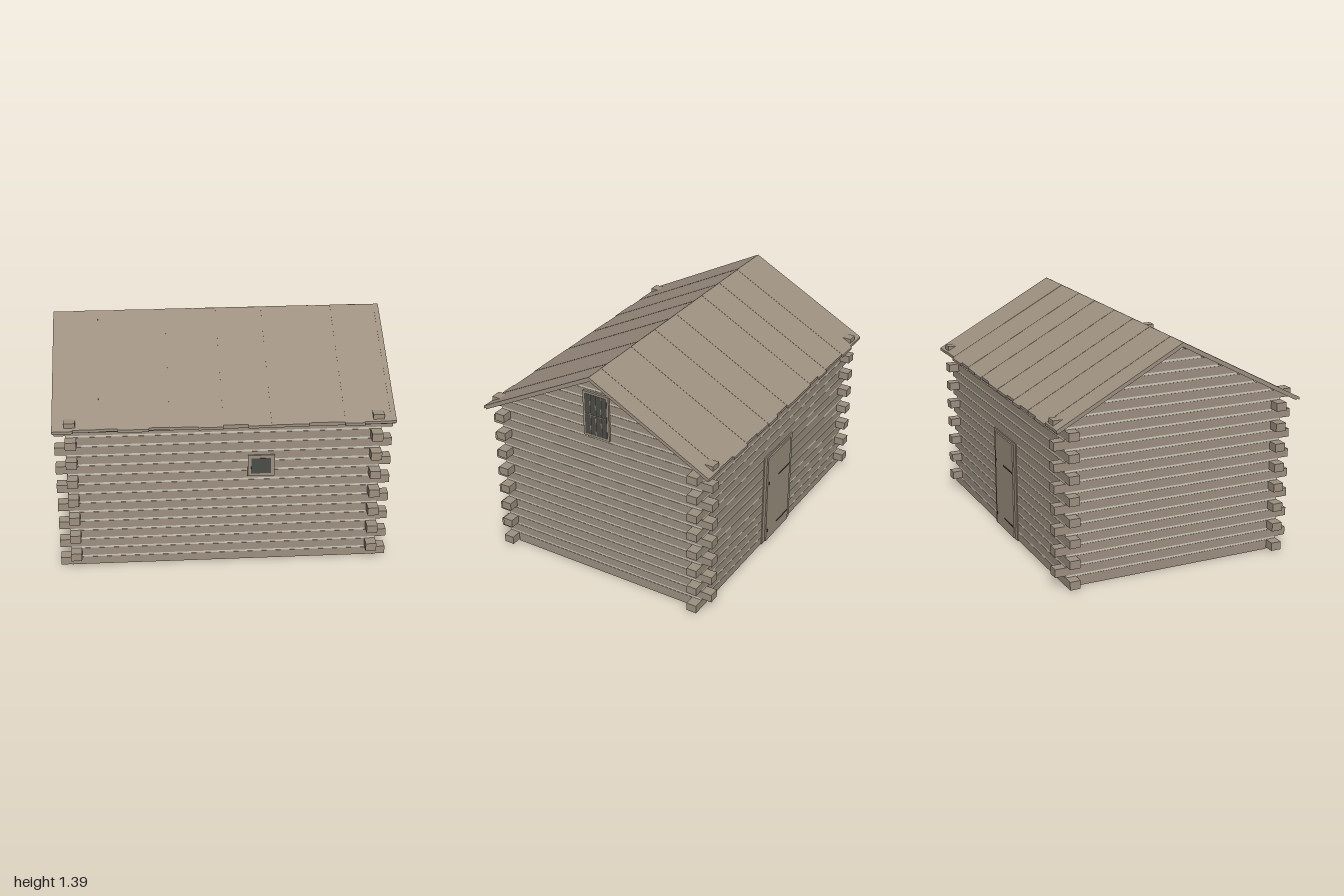
import * as THREE from 'three';

export function createModel() {
  const model = new THREE.Group();
  const mat = (name, color) => {
    const m = new THREE.MeshStandardMaterial({ color });
    m.name = name;
    return m;
  };
  const wood = mat('weathered wood', 0x9d9080);
  const chink = mat('pale chinking', 0xd0cabe);
  const glass = mat('dark glass', 0x4b4d48);
  const iron = mat('dark iron', 0x403b35);

  const group = name => {
    const g = new THREE.Group();
    g.name = name;
    model.add(g);
    return g;
  };
  const add = (name, geo, material, parent) => {
    const mesh = new THREE.Mesh(geo, material);
    mesh.name = name;
    parent.add(mesh);
    return mesh;
  };
  // box between two opposite corners
  const box = (name, a, b, material, parent) => {
    const size = a.map((v, i) => Math.abs(b[i] - v));
    const m = add(name, new THREE.BoxGeometry(...size), material, parent);
    m.position.set((a[0] + b[0]) / 2, (a[1] + b[1]) / 2, (a[2] + b[2]) / 2);
    return m;
  };
  // outline in (z, y), extruded along x between xa and xb
  const slab = (name, pts, xa, xb, material, parent) => {
    const shape = new THREE.Shape(pts.map(([z, y]) => new THREE.Vector2(-z, y)));
    const geo = new THREE.ExtrudeGeometry(shape, { depth: Math.abs(xb - xa), bevelEnabled: false });
    geo.rotateY(Math.PI / 2);
    geo.translate(Math.min(xa, xb), 0, 0);
    return add(name, geo, material, parent);
  };

  const PITCH = 0.0634, H = 0.0505, SLOPE = 0.532, UNDER = 1.36;
  const bottom = i => 0.01 + i * PITCH;
  const roofZ = y => Math.max((UNDER - y) / SLOPE, 0.001);

  // thin front and back walls: lining, chinking and log faces
  for (const s of [-1, 1]) {
    const wall = group(s > 0 ? 'frontWall' : 'backWall');
    box('lining', [-0.922, 0.005, s * 0.69], [0.922, 0.985, s * 0.694], wood, wall);
    box('chinking', [-0.927, 0.012, s * 0.694], [0.927, 0.985, s * 0.698], chink, wall);
    for (let i = 0; i < 15; i++) {
      box('log', [-0.865, bottom(i), s * 0.696], [0.865, bottom(i) + H, s * 0.7], wood, wall);
    }
  }

  // thin side walls, with gable logs trimmed to the roof slope
  for (const s of [-1, 1]) {
    const wall = group(s > 0 ? 'leftWall' : 'rightWall');
    const house = (z, lo) => [[-z, lo], [z, lo], [z, 0.985], [0, 1.355], [-z, 0.985]];
    slab('lining', house(0.69, 0), s * 0.92, s * 0.924, wood, wall);
    slab('chinking', house(0.697, 0.005), s * 0.924, s * 0.928, chink, wall);
    for (let i = 0; i < 16; i++) {
      box('log', [s * 0.926, i ? bottom(i) : 0, -0.635], [s * 0.93, bottom(i) + H, 0.635], wood, wall);
    }
    for (let i = 16; i < 22; i++) {
      const lo = bottom(i), hi = Math.min(lo + H, UNDER);
      const a = roofZ(lo), b = roofZ(hi);
      slab('gableLog', [[-a, lo], [a, lo], [b, hi], [-b, hi]], s * 0.926, s * 0.93, wood, wall);
    }
  }

  // crossing log ends, alternating direction at each corner
  const corners = group('cornerLogEnds');
  for (const sx of [-1, 1]) for (const sz of [-1, 1]) for (let i = 0; i < 16; i++) {
    const ex = i % 2 ? 0.93 : 0.995, ez = i % 2 ? 0.765 : 0.7;
    box('logEnd', [sx * 0.865, bottom(i), sz * 0.635], [sx * ex, bottom(i) + H, sz * ez], wood, corners);
  }

  // roof: lower chevron deck
  const roof = group('roof');
  const e = 0.768, t = 0.016;
  slab('roofDeck', [
    [-e, UNDER - SLOPE * e], [0, UNDER], [e, UNDER - SLOPE * e],
    [e, UNDER + t - SLOPE * e], [0, UNDER + t], [-e, UNDER + t - SLOPE * e],
  ], -0.995, 0.995, wood, roof);

  // roof planks of uneven width and length
  const planks = {
    front: [-1, -0.88, -0.73, -0.62, -0.44, -0.32, -0.155, -0.01, 0.135, 0.27, 0.49, 0.7, 0.815, 0.97, 1],
    back: [-1, -0.845, -0.71, -0.585, -0.47, -0.36, -0.25, -0.1, 0.06, 0.19, 0.305, 0.44, 0.565, 0.725, 0.875, 1],
  };
  for (const side of ['front', 'back']) {
    const s = side === 'front' ? 1 : -1;
    const xs = planks[side];
    for (let i = 0; i < xs.length - 1; i++) {
      const end = 0.78 + 0.006 * Math.sin(i * 2.3 + s);
      const lift = 0.0285 + 0.0015 * (i % 2);
      const pts = [[0, UNDER + 0.012], [s * end, UNDER + 0.012 - SLOPE * end],
        [s * end, UNDER + lift - SLOPE * end], [0, UNDER + lift]];
      slab(side + 'Plank', pts, xs[i], xs[i + 1], wood, roof);
    }
  }

  // small window in the front wall
  const small = group('frontWindow');
  box('frame', [0.14, 0.595, 0.69], [0.3, 0.735, 0.709], wood, small);
  box('pane', [0.16, 0.614, 0.706], [0.277, 0.715, 0.711], glass, small);

  // tall barred window in the left gable
  const tall = group('gableWindow');
  box('casing', [0.92, 0.965, -0.088], [0.943, 1.255, 0.088], wood, tall);
  box('pane', [0.94, 0.978, -0.075], [0.945, 1.242, 0.075], glass, tall);
  for (const z of [-0.037, 0, 0.037]) {
    box('bar', [0.943, 0.978, z - 0.002], [0.948, 1.242, z + 0.002], wood, tall);
  }
  box('crossbar', [0.943, 1.108, -0.075], [0.948, 1.112, 0.075], wood, tall);

  // back door with frame, strap hinges and latch plates
  const door = group('backDoor');
  box('doorFrame', [-0.185, 0.005, -0.705], [0.185, 0.64, -0.69], wood, door);
  box('doorPanel', [-0.148, 0.012, -0.714], [0.15, 0.625, -0.7], wood, door);
  for (const y of [0.085, 0.44]) {
    box('strapHinge', [-0.14, y - 0.004, -0.717], [0.01, y + 0.004, -0.712], iron, door);
    box('latchPlate', [0.129, y - 0.012, -0.717], [0.136, y + 0.008, -0.712], iron, door);
  }
  return model;
}
